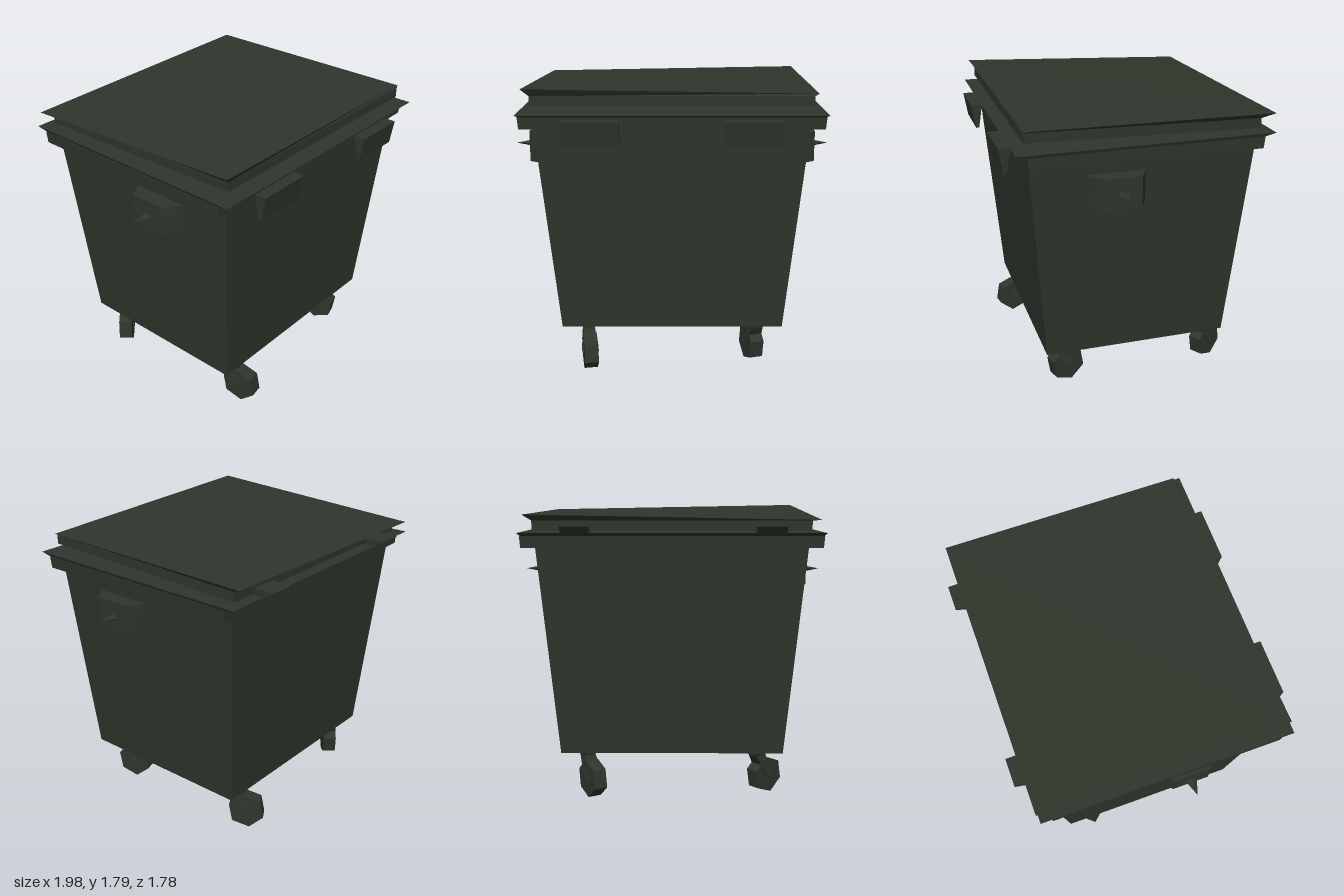
import * as THREE from 'three';

const darkGreen = new THREE.MeshStandardMaterial({ color: 0x2e362c });
darkGreen.name = 'darkGreen';
darkGreen.flatShading = true;

// Six-sided solid from a lower and an upper ring of four [x, y, z] corners
// (front left, front right, back right, back left as seen from above).
function block(name, lower, upper) {
  const index = [4, 5, 6, 4, 6, 7, 0, 2, 1, 0, 3, 2];
  for (let i = 0; i < 4; i++) {
    const j = (i + 1) % 4;
    index.push(i, j, j + 4, i, j + 4, i + 4);
  }
  let g = new THREE.BufferGeometry();
  g.setAttribute('position', new THREE.Float32BufferAttribute([...lower, ...upper].flat(), 3));
  g.setIndex(index);
  g = g.toNonIndexed();
  g.computeVertexNormals();
  const mesh = new THREE.Mesh(g, darkGreen);
  mesh.name = name;
  return mesh;
}

// Rectangular ring; the front and back may differ in height
function ring(x0, x1, zBack, zFront, yFront, yBack = yFront) {
  return [[x0, yFront, zFront], [x1, yFront, zFront], [x1, yBack, zBack], [x0, yBack, zBack]];
}
const centred = (hx, hz, yFront, yBack) => ring(-hx, hx, -hz, hz, yFront, yBack);

export function createModel() {
  const model = new THREE.Group();
  model.name = 'wasteContainer';
  const turn = 0.118;
  model.rotation.y = turn;

  // Tapered body with its rim
  model.add(block('body', centred(0.685, 0.575, 0.28), centred(0.806, 0.68, 1.61)));
  model.add(block('rimSkirt', centred(0.885, 0.69, 1.55), centred(0.89, 0.695, 1.62)));
  model.add(block('rimFlange', centred(0.885, 0.695, 1.62), centred(0.895, 0.76, 1.64)));

  // Slightly raised lid with a flared, warped top
  const lidSeam = centred(0.815, 0.70, 1.742, 1.71);
  model.add(block('lidSlab', centred(0.815, 0.70, 1.685, 1.65), lidSeam));
  model.add(block('lidTop', lidSeam,
    [[-0.86, 1.785, 0.73], [0.84, 1.755, 0.69], [0.86, 1.745, -0.77], [-0.86, 1.715, -0.77]]));

  for (const s of [-1, 1]) {
    // Front grips and rear hinges
    const [a, b] = s < 0 ? [-0.64, -0.30] : [0.30, 0.64];
    model.add(block('frontGrip', ring(a, b, 0.765, 0.785, 1.46), ring(a, b, 0.74, 0.81, 1.61)));
    const [c, d] = s < 0 ? [-0.66, -0.49] : [0.48, 0.64];
    model.add(block('rearHinge', ring(c, d, -0.77, -0.68, 1.64), ring(c, d, -0.83, -0.68, 1.68)));

    // Side bracket with a pointed lifting pin
    const bracket = (y, inner) => {
      const r = [[s * inner, y, 0.36], [s * 0.89, y, 0.27], [s * 0.89, y, 0.045], [s * inner, y, -0.015]];
      return s < 0 ? r.reverse() : r;
    };
    model.add(block('sideBracket', bracket(1.27, 0.76), bracket(1.46, 0.78)));
    const pin = new THREE.Mesh(new THREE.ConeGeometry(0.04, 0.11, 4), darkGreen);
    pin.name = 'liftingPin';
    pin.scale.x = 0.55;
    pin.rotation.z = -s * Math.PI / 2;
    pin.position.set(s * 0.935, 1.365, 0.155);
    model.add(pin);
  }

  // Swivel casters: mount position and swivel direction
  const casters = [
    [-0.53, 0.485, 0.02, 0.065], [0.53, 0.485, -0.03, -0.07],
    [-0.53, -0.485, -0.045, 0.05], [0.53, -0.485, -0.06, -0.075],
  ];
  for (const [x, z, dx, dz] of casters) {
    const caster = new THREE.Group();
    caster.name = 'caster';
    caster.position.set(x, 0, z);
    caster.rotation.y = Math.atan2(dx, dz) - turn;
    caster.add(block('mount', centred(0.035, 0.035, 0.245), centred(0.045, 0.045, 0.285)));
    caster.add(block('fork', ring(-0.052, 0.052, 0.05, 0.1, 0.11), ring(-0.035, 0.035, -0.035, 0.045, 0.25)));
    const wheel = new THREE.Mesh(new THREE.CylinderGeometry(0.115, 0.115, 0.085, 6), darkGreen);
    wheel.name = 'wheel';
    wheel.rotation.set(0.35, 0, Math.PI / 2, 'XYZ');
    wheel.position.set(0, 0.112, 0.07);
    caster.add(wheel);
    model.add(caster);
  }

  const root = new THREE.Group();
  root.name = 'container';
  root.add(model);
  return root;
}
